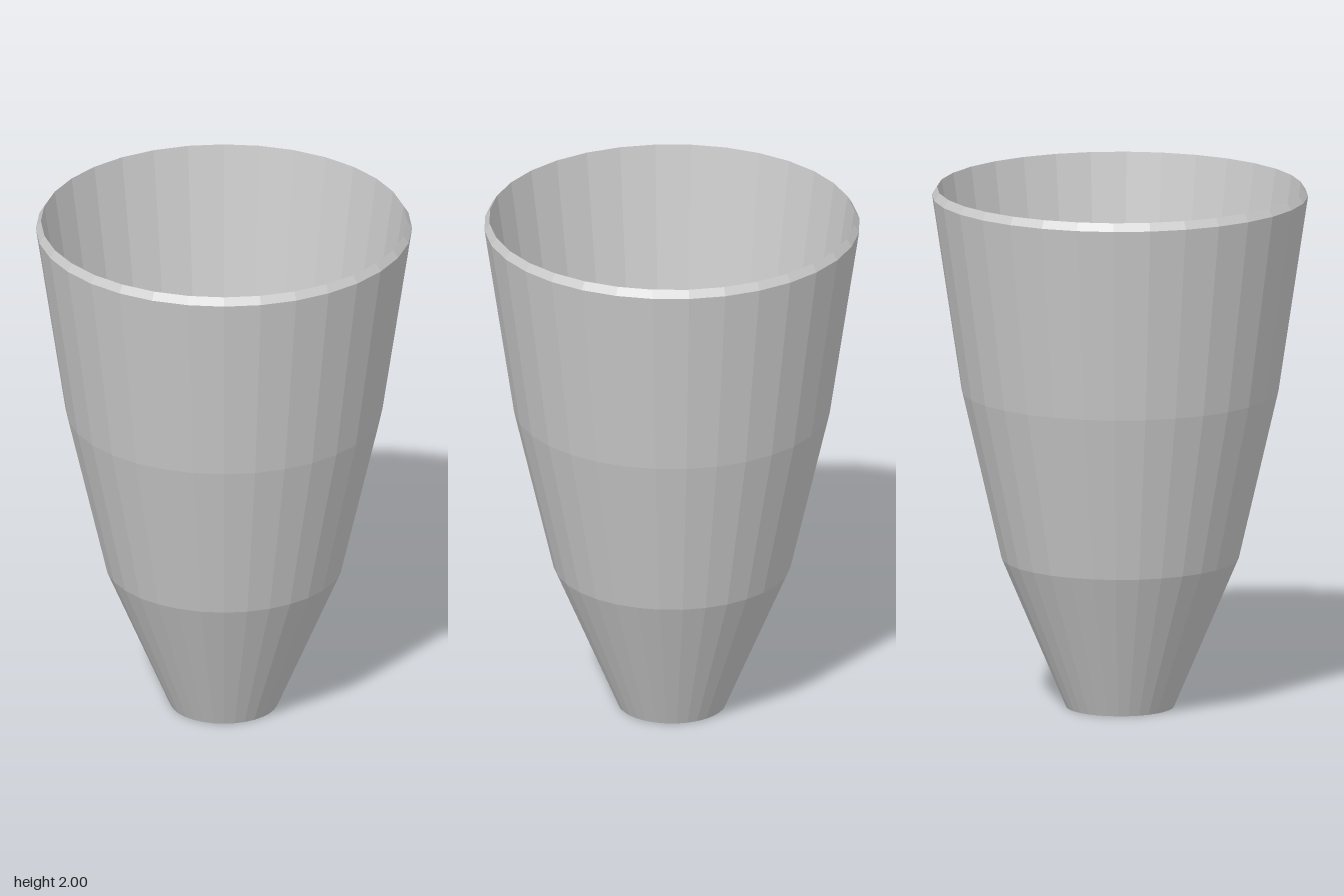
import * as THREE from 'three';

const SIDES = 32;

// Revolve a profile of [radius, height] pairs into faceted walls
function revolve(name, profile, material) {
  const points = profile.map(([r, y]) => new THREE.Vector2(r, y));
  const mesh = new THREE.Mesh(new THREE.LatheGeometry(points, SIDES), material);
  mesh.name = name;
  return mesh;
}

export function createModel() {
  const group = new THREE.Group();
  group.name = 'taperedCup';
  const material = new THREE.MeshStandardMaterial({
    color: 0xcccccc, flatShading: true, side: THREE.DoubleSide,
  });

  // Base and outer wall, steepening in three stages
  group.add(revolve('outerWall', [[0, 0], [0.205, 0], [0.45, 0.575], [0.6, 1.22], [0.712, 1.97]], material));

  // Rim bevelled towards the opening
  group.add(revolve('rim', [[0.712, 1.97], [0.693, 2]], material));

  // Inner wall and floor
  group.add(revolve('innerWall', [[0.693, 2], [0.578, 1.22], [0.428, 0.58], [0.198, 0.02], [0, 0.02]], material));

  return group;
}
